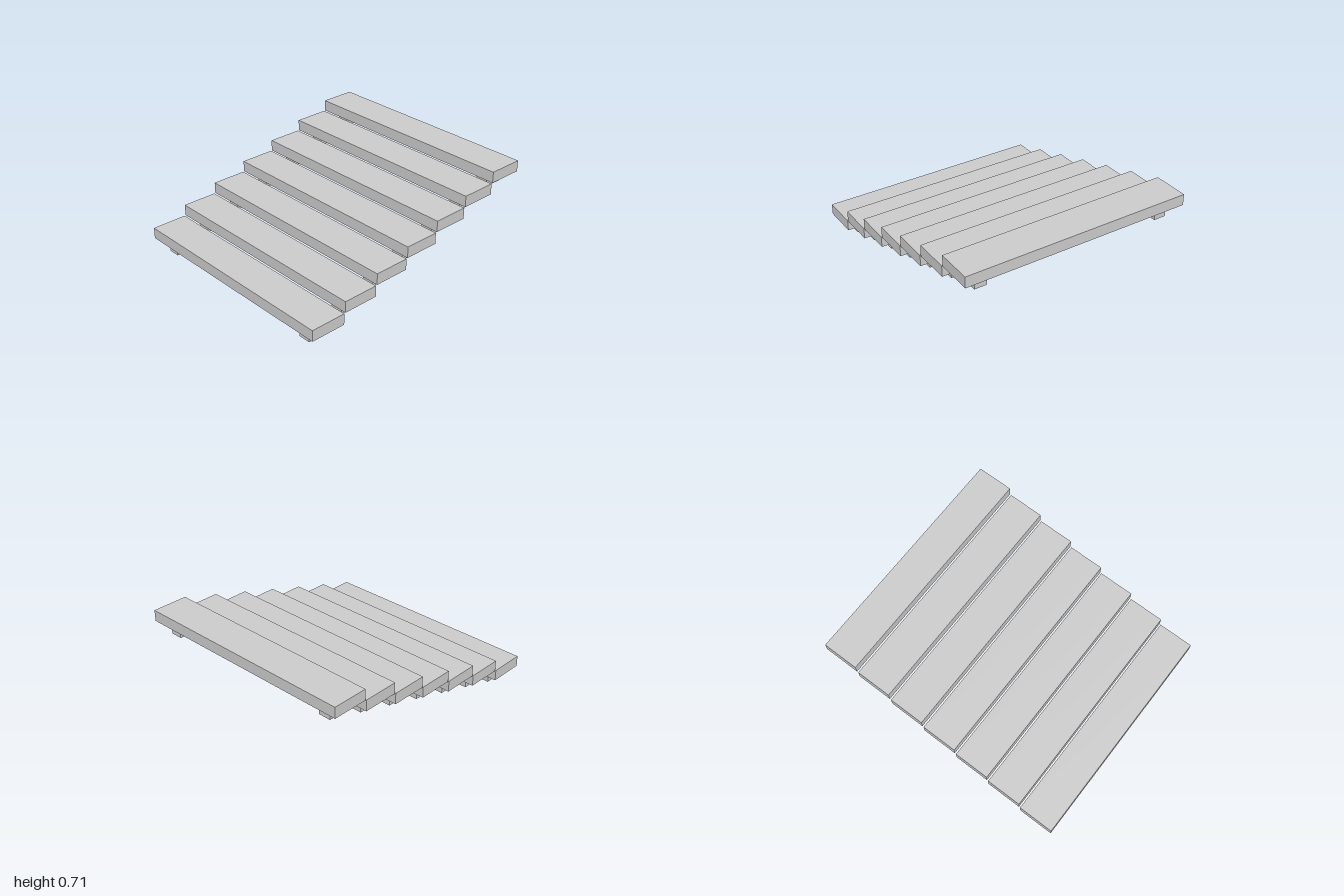
import * as THREE from 'three';

export function createModel() {
  const model = new THREE.Group();
  model.name = 'slattedSteps';
  const material = new THREE.MeshStandardMaterial({ color: 0xcccccc, flatShading: true });

  const count = 7, run = 0.287, rise = 0.0885;
  const plankWidth = 0.277, plankThickness = 0.086, plankLength = 1.77;
  const blockHeight = 0.0885, blockOffset = 0.735;

  const plankGeometry = new THREE.BoxGeometry(plankWidth, plankThickness, plankLength);
  const blockGeometry = new THREE.BoxGeometry(0.155, blockHeight, 0.095);

  function addPart(parent, name, geometry, y, z) {
    const mesh = new THREE.Mesh(geometry, material);
    mesh.name = name;
    mesh.position.set(0, y, z);
    parent.add(mesh);
  }

  // Each step is a plank on two small blocks, climbing towards +x
  for (let i = 0; i < count; i++) {
    const step = new THREE.Group();
    step.name = `step${i + 1}`;
    step.position.set((i - (count - 1) / 2) * run, i * rise, 0);
    addPart(step, 'plank', plankGeometry, blockHeight + plankThickness / 2, 0);
    addPart(step, 'frontBlock', blockGeometry, blockHeight / 2, blockOffset);
    addPart(step, 'backBlock', blockGeometry, blockHeight / 2, -blockOffset);
    model.add(step);
  }
  return model;
}
